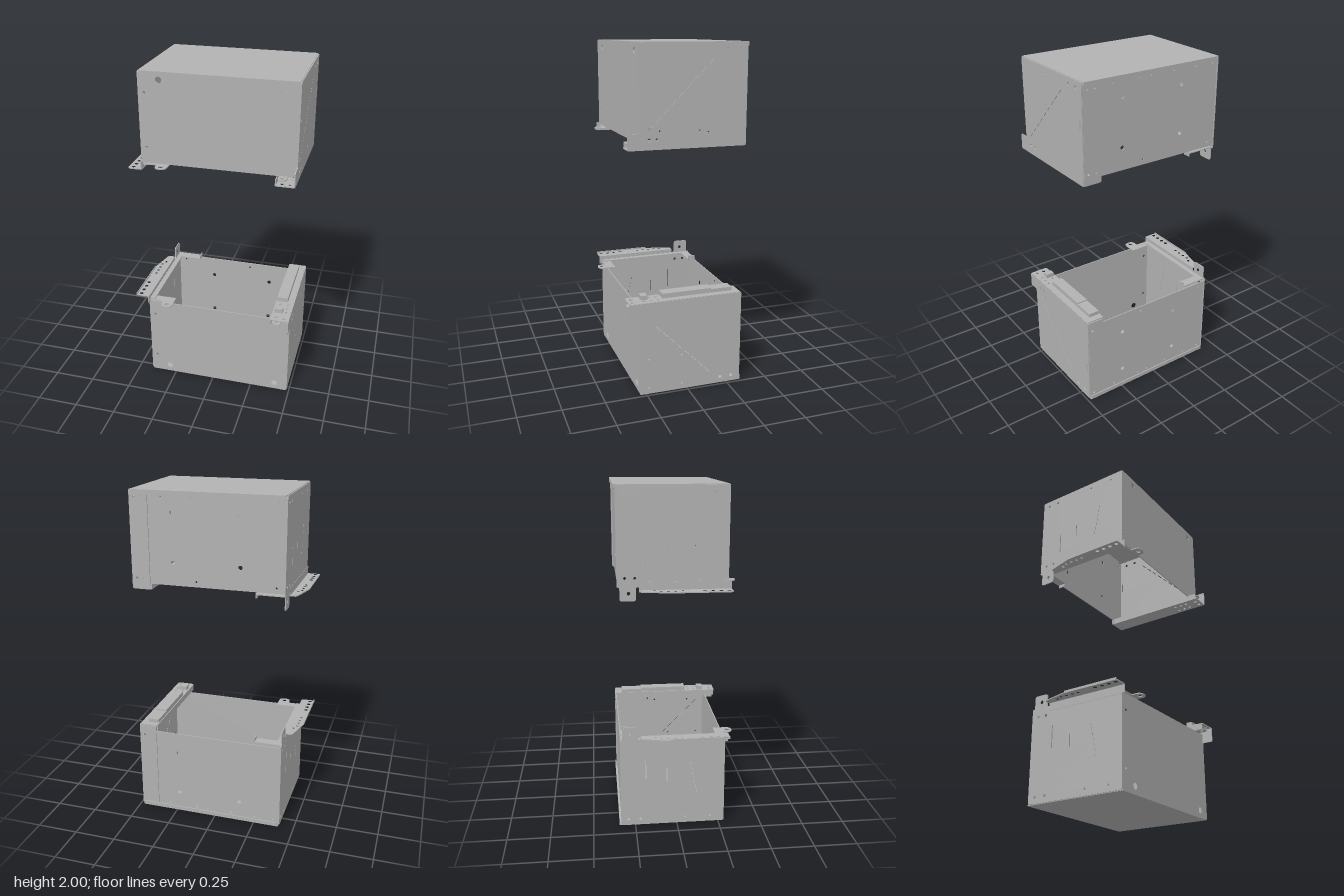
import * as THREE from 'three';

const steel = new THREE.MeshStandardMaterial({ color: 0xb2b2b2 });
steel.name = 'plain steel grey';
const T = 0.006; // sheet thickness

// Closed polygon with every corner rounded by r
function outline(pts, r) {
  const s = new THREE.Shape();
  const n = pts.length;
  pts.forEach((p, i) => {
    const cur = new THREE.Vector2(...p);
    const prev = new THREE.Vector2(...pts[(i + n - 1) % n]);
    const next = new THREE.Vector2(...pts[(i + 1) % n]);
    const k = Math.min(r, cur.distanceTo(prev) * 0.49, cur.distanceTo(next) * 0.49);
    const a = prev.sub(cur).setLength(k).add(cur);
    const b = next.sub(cur).setLength(k).add(cur);
    if (i) s.lineTo(a.x, a.y); else s.moveTo(a.x, a.y);
    if (r > 0) s.quadraticCurveTo(cur.x, cur.y, b.x, b.y);
  });
  s.closePath();
  return s;
}

const rect = (a, b, c, d) => [[a, c], [b, c], [b, d], [a, d]];

// Thin slot from one point to another, as a four-corner cutout
function slot(x0, y0, x1, y1, w = 0.004) {
  const d = new THREE.Vector2(x1 - x0, y1 - y0).normalize().multiplyScalar(w / 2);
  return [[x0 - d.y, y0 + d.x], [x1 - d.y, y1 + d.x], [x1 + d.y, y1 - d.x], [x0 + d.y, y0 - d.x]];
}

// One open cabinet. It is described with its opening down; lower = true flips it about y = 1.
function cabinet(lower) {
  const group = new THREE.Group();
  group.name = lower ? 'lowerCabinet' : 'upperCabinet';
  const flip = y => (lower ? 2 - y : y);

  // Sheet across an axis: 'z' uses (x, y), 'x' uses (z, y), 'y' uses (x, z) points.
  // Holes are [u, v, radius] circles or lists of corner points.
  function plate(name, axis, at, pts, { holes = [], r = 0, t = T } = {}) {
    const map = ([u, v]) => (axis === 'y' ? [u, v] : [u, flip(v)]);
    const shape = outline(pts.map(map), r);
    for (const h of holes) {
      const path = new THREE.Path();
      if (typeof h[0] === 'number') {
        const [u, v] = map(h);
        path.absarc(u, v, h[2], 0, Math.PI * 2, true);
      } else path.setFromPoints(h.map(p => new THREE.Vector2(...map(p))));
      shape.holes.push(path);
    }
    const geo = new THREE.ExtrudeGeometry(shape, { depth: t, bevelEnabled: false, curveSegments: 8 });
    if (axis === 'x') geo.rotateY(-Math.PI / 2).translate(at + t, 0, 0);
    else if (axis === 'y') geo.rotateX(Math.PI / 2).translate(0, lower ? 2 - at : at + t, 0);
    else geo.translate(0, 0, at);
    const mesh = new THREE.Mesh(geo, steel);
    mesh.name = name;
    group.add(mesh);
  }

  // Cover sheet with its folded back lip
  plate('cover', 'y', 2 - T, rect(-0.405, 0.48, -0.345, 0.285), { r: 0.008 });
  plate('coverBackLip', 'z', -0.345, rect(-0.395, 0.475, 1.975, 1.998), { r: 0.004 });

  // Front and back walls
  plate('frontWall', 'z', 0.285 - T, rect(-0.405, 0.48, 1.47, 1.997), {
    holes: [[-0.29, 1.955, 0.018], [0.405, 1.955, 0.018], [-0.375, 1.88, 0.007], [-0.375, 1.565, 0.007]],
  });
  const backHoles = [];
  for (const x of [0.237, -0.155]) for (const y of [1.88, 1.6]) backHoles.push([x, y, 0.012]);
  for (const x of [0.3, 0.12, 0.05, -0.1, -0.25, -0.37]) backHoles.push([x, 1.965, 0.005]);
  for (const x of [0.1, -0.36]) backHoles.push([x, 1.5, 0.006]);
  plate('backWall', 'z', -0.331, rect(-0.405, 0.44, 1.47, 1.997), { holes: backHoles });
  plate('backCornerFlange', 'z', -0.337, rect(0.377, 0.482, 1.44, 1.985), {
    r: 0.006,
    holes: [[0.41, 1.96, 0.007], [0.455, 1.96, 0.007], [0.41, 1.5, 0.007], [0.455, 1.5, 0.007]],
  });

  // Left wall with a forward ear and a diagonal row of slots
  const leftHoles = [
    [0.235, 1.96, 0.005], [0.035, 1.96, 0.005], [0.235, 1.78, 0.005], [0.035, 1.78, 0.005],
    [-0.21, 1.96, 0.01], [-0.28, 1.96, 0.01], [0.23, 1.488, 0.01], [0.185, 1.488, 0.009],
    [-0.06, 1.53, 0.005], [-0.11, 1.52, 0.005], [0.17, 1.535, 0.005],
    slot(-0.315, 1.745, -0.315, 1.81, 0.007),
  ];
  for (let i = 0; i < 9; i++) {
    const z = 0.235 - i * 0.043, y = 1.54 + i * 0.043;
    leftHoles.push(slot(z, y, z - 0.03, y + 0.03));
  }
  plate('leftWall', 'x', 0.48, [
    [-0.335, 1.435], [0.35, 1.435], [0.35, 1.525], [0.285, 1.525], [0.285, 1.997], [-0.335, 1.997],
  ], { r: 0.008, holes: leftHoles });

  // Right wall with a hanging tab at the back
  const rightHoles = [
    [-0.29, 1.96, 0.008], [-0.22, 1.96, 0.008], [0.2, 1.96, 0.006], [0.05, 1.96, 0.006],
    [-0.27, 1.415, 0.01], [-0.29, 1.5, 0.008], [-0.235, 1.5, 0.008],
    slot(-0.185, 1.57, -0.185, 1.7, 0.006), slot(-0.06, 1.64, -0.06, 1.72, 0.006),
  ];
  for (let i = 0; i < 7; i++) rightHoles.push(slot(0.12 - i * 0.006, 1.8 - i * 0.03, 0.117 - i * 0.006, 1.785 - i * 0.03));
  plate('rightWall', 'x', -0.411, [
    [-0.32, 1.372], [-0.23, 1.372], [-0.23, 1.45], [0.3, 1.45], [0.3, 1.475], [0.285, 1.475],
    [0.285, 1.997], [-0.335, 1.997], [-0.335, 1.45], [-0.32, 1.45],
  ], { r: 0.014, holes: rightHoles });

  // Outer mounting flange on the right side
  const flangeHoles = [[-0.44, -0.13, 0.008]];
  for (let i = 0; i < 4; i++) {
    flangeHoles.push([-0.456, -0.095 + i * 0.04, 0.008], [-0.463, 0.145 + i * 0.045, 0.011]);
  }
  plate('rightFlange', 'y', 1.428, [
    [-0.405, -0.213], [-0.45, -0.213], [-0.49, -0.05], [-0.49, 0.302], [-0.405, 0.302],
  ], { r: 0.015, holes: flangeHoles });
  plate('rightFlangeWeb', 'x', -0.413, rect(-0.213, 0.302, 1.43, 1.48));

  // Hinge bracket on the right: side strip, front and back arms, rounded front tab
  plate('rightInnerStrip', 'y', 1.452, rect(-0.405, -0.375, -0.32, 0.28));
  plate('backArm', 'y', 1.452, rect(-0.405, -0.24, -0.325, -0.27), { r: 0.006 });
  plate('backArmLip', 'x', -0.246, rect(-0.32, -0.275, 1.432, 1.458));
  plate('frontArm', 'y', 1.458, rect(-0.405, -0.25, 0.235, 0.287));
  plate('frontRightTab', 'y', 1.458, rect(-0.32, -0.25, 0.25, 0.344), { r: 0.034, holes: [[-0.285, 0.317, 0.014]] });

  // Rail along the left side, with its front foot and hinge tab
  const railHoles = [[0.455, 0.322, 0.009], [0.41, 0.317, 0.012]];
  for (const z of [0.25, 0.21, 0.17]) railHoles.push([0.405, z, 0.008], [0.455, z, 0.008]);
  plate('leftRail', 'y', 1.434, rect(0.373, 0.482, -0.33, 0.346), { r: 0.008, holes: railHoles });
  plate('leftRailInnerLip', 'x', 0.373, rect(-0.32, 0.34, 1.436, 1.472));
  plate('frontLeftTab', 'y', 1.466, rect(0.385, 0.435, 0.25, 0.346), { r: 0.024, holes: [[0.41, 0.317, 0.011]] });

  // Raised bar and pads, only on the lower cabinet rail
  if (lower) {
    plate('railBar', 'y', 1.405, rect(0.378, 0.445, -0.16, 0.14), { t: 0.028 });
    plate('railBarStep', 'y', 1.412, rect(0.378, 0.445, -0.29, -0.16), { t: 0.022 });
    plate('railPad', 'y', 1.408, rect(0.385, 0.435, 0.228, 0.265), { t: 0.026 });
    plate('flangeLip', 'x', -0.49, rect(-0.045, 0.3, 1.42, 1.434), { t: 0.005 });
  }
  return group;
}

export function createModel() {
  const model = new THREE.Group();
  model.name = 'cabinetPair';
  model.add(cabinet(false), cabinet(true));
  return model;
}
